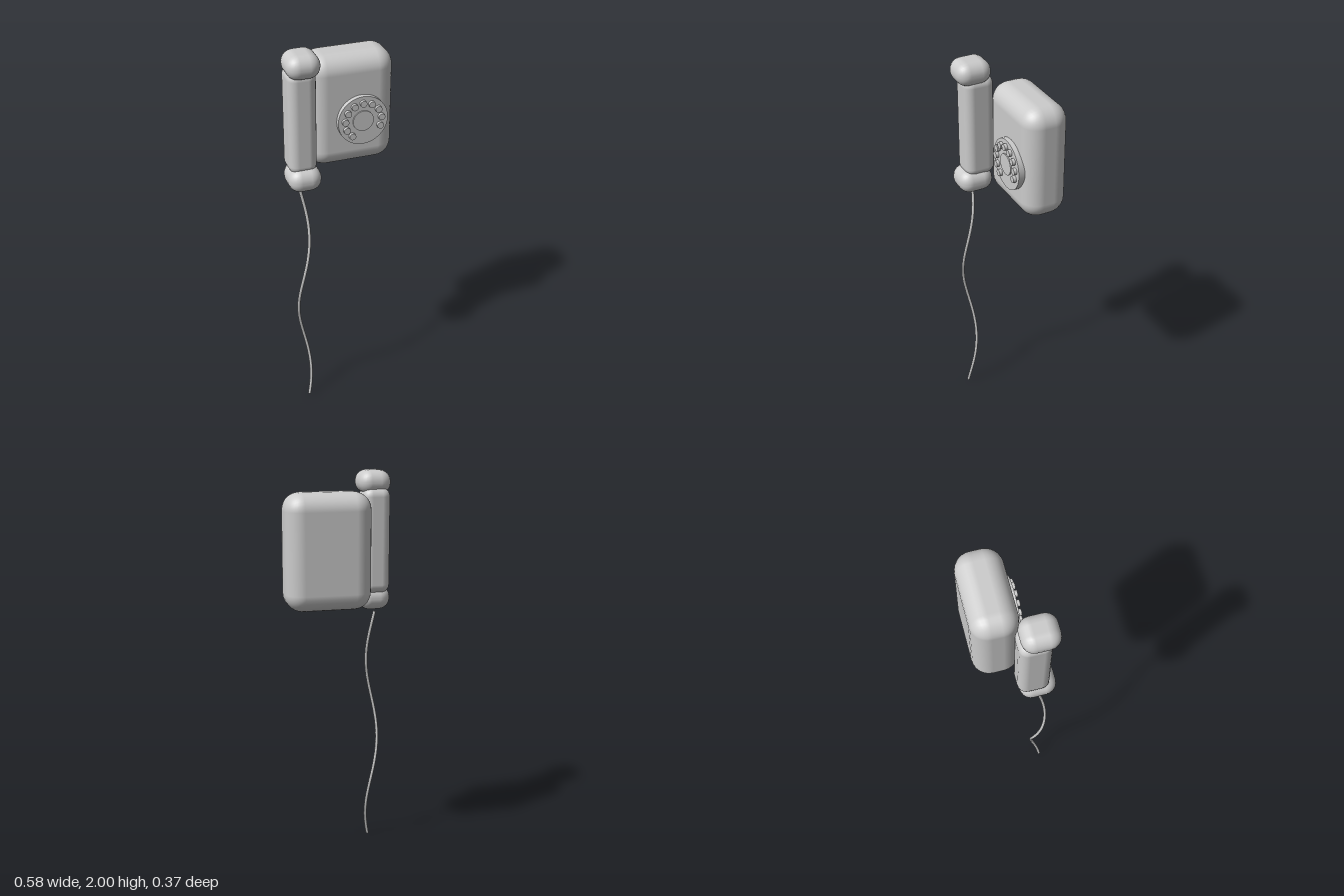
import * as THREE from 'three';
import { RoundedBoxGeometry } from 'three/addons/geometries/RoundedBoxGeometry.js';

const grey = new THREE.MeshStandardMaterial({ color: 0xcccccc });
grey.name = 'grey';

function add(parent, name, geometry, x = 0, y = 0, z = 0) {
  const mesh = new THREE.Mesh(geometry, grey);
  mesh.name = name;
  mesh.position.set(x, y, z);
  parent.add(mesh);
  return mesh;
}

// Rounded box given by its minimum and maximum corners
function roundedBox(parent, name, min, max, radius, segments) {
  const [w, h, d] = max.map((v, i) => v - min[i]);
  const c = max.map((v, i) => (v + min[i]) / 2);
  return add(parent, name, new RoundedBoxGeometry(w, h, d, segments, radius), ...c);
}

// Disc facing +z between two depths
function disc(parent, name, radius, z0, z1, sides, x = 0, y = 0) {
  const g = new THREE.CylinderGeometry(radius, radius, z1 - z0, sides).rotateX(Math.PI / 2);
  return add(parent, name, g, x, y, (z0 + z1) / 2);
}

// Gently waving cord hanging below the handset
class CordCurve extends THREE.Curve {
  getPoint(t, target = new THREE.Vector3()) {
    const y = 1.272 - 1.271 * t;
    return target.set(
      -0.22 + 0.031 * Math.sin((2 * Math.PI * (1.26 - y)) / 0.87),
      y,
      0.122 - 0.031 * Math.cos((2 * Math.PI * (1.27 - y)) / 0.9)
    );
  }
}

export function createModel() {
  const model = new THREE.Group();
  model.name = 'wallTelephone';

  // Main housing
  roundedBox(model, 'housing', [-0.145, 1.33, -0.186], [0.289, 1.911, 0.042], 0.088, 4);

  // Rotary dial with finger studs
  const dial = new THREE.Group();
  dial.name = 'dial';
  dial.position.set(0.111, 1.583, 0);
  model.add(dial);
  disc(dial, 'dialPlate', 0.127, 0.03, 0.066, 48);
  disc(dial, 'dialCentre', 0.053, 0.06, 0.072, 32);
  for (let i = 0; i < 10; i++) {
    const a = THREE.MathUtils.degToRad(-22 + i * 28.3);
    disc(dial, 'fingerStud', 0.017, 0.06, 0.081, 14, 0.093 * Math.cos(a), 0.093 * Math.sin(a));
  }

  // Handset
  const handset = new THREE.Group();
  handset.name = 'handset';
  model.add(handset);
  roundedBox(handset, 'handle', [-0.281, 1.38, -0.008], [-0.141, 1.915, 0.148], 0.045, 3);
  roundedBox(handset, 'earpiece', [-0.291, 1.88, 0.004], [-0.125, 2, 0.184], 0.059, 3);
  roundedBox(handset, 'mouthpiece', [-0.291, 1.291, 0.004], [-0.125, 1.413, 0.184], 0.059, 3);

  // Cord with closed ends
  const curve = new CordCurve();
  add(model, 'cord', new THREE.TubeGeometry(curve, 60, 0.008, 8));
  for (const t of [0, 1]) {
    const cap = add(model, 'cordEnd', new THREE.CircleGeometry(0.008, 8));
    cap.position.copy(curve.getPoint(t));
    const out = curve.getTangent(t).multiplyScalar(t ? 1 : -1);
    cap.quaternion.setFromUnitVectors(new THREE.Vector3(0, 0, 1), out);
  }

  return model;
}
